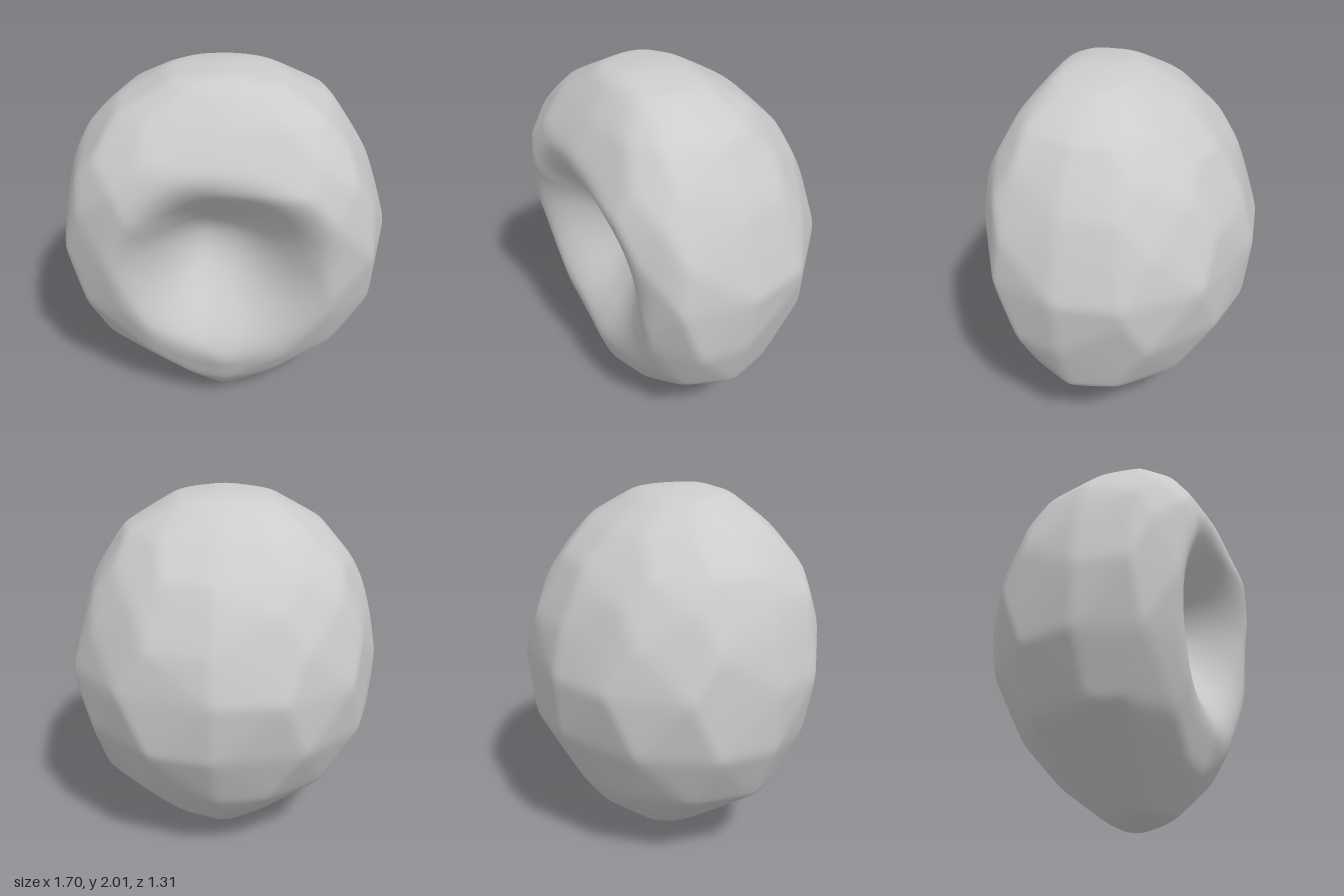
import * as THREE from 'three';
import { mergeVertices } from 'three/addons/utils/BufferGeometryUtils.js';
import { ConvexGeometry } from 'three/addons/geometries/ConvexGeometry.js';

// Horizontal sections: y, reach to -x, +x, front z (before hollowing), back z
const ROWS = [
  [0, 0.02, 0.06, 0.16, 0.06], [0.05, 0.16, 0.15, 0.32, -0.04], [0.26, 0.43, 0.48, 0.5, -0.31],
  [0.45, 0.69, 0.7, 0.57, -0.46], [0.77, 0.83, 0.81, 0.62, -0.61], [1.1, 0.855, 0.85, 0.665, -0.645],
  [1.35, 0.81, 0.78, 0.695, -0.585], [1.52, 0.76, 0.72, 0.69, -0.51], [1.66, 0.69, 0.64, 0.635, -0.43],
  [1.82, 0.54, 0.53, 0.54, -0.27], [1.97, 0.28, 0.27, 0.41, -0.03], [2, 0.08, 0.08, 0.34, 0.1],
];
const MID_Z = 0.15;
const CENTRE = new THREE.Vector3(0, 1.05, 0.12);
const SHARPNESS = 200;

// Corners of the facets, relative to the centre: twelve per section, staggered
function facetCorners() {
  const points = [];
  ROWS.forEach(([y, left, right, front, back], row) => {
    for (let k = 0; k < 12; k++) {
      const stagger = k % 3 ? (row % 2 ? 5 : -5) : 0;
      const a = THREE.MathUtils.degToRad(k * 30 + stagger);
      const c = Math.cos(a), s = Math.sin(a);
      // the front is boxy and narrows to a keel near the bottom
      const low = THREE.MathUtils.smoothstep(y, 0.25, 1);
      const e = 2 / (s > 0 ? 1.75 + 1.15 * low : 1.8 + 0.2 * low);
      const swell = k % 3 ? 1.015 : 1;
      const x = Math.sign(c) * Math.abs(c) ** e * (c < 0 ? left : right) * swell;
      const z = MID_Z + Math.abs(s) ** e * ((s > 0 ? front : back) - MID_Z) * swell;
      points.push(new THREE.Vector3(x, y, z).sub(CENTRE).multiplyScalar(1.006));
    }
  });
  return points;
}

// One plane per facet of the hull around the corners
function facetPlanes() {
  const pos = new ConvexGeometry(facetCorners()).attributes.position;
  const planes = [];
  for (let i = 0; i < pos.count; i += 3) {
    const [a, b, c] = [0, 1, 2].map(k => new THREE.Vector3().fromBufferAttribute(pos, i + k));
    const normal = b.clone().sub(a).cross(c.clone().sub(a)).normalize();
    const d = normal.dot(a);
    if (d > 0.01 && !planes.some(p => p.normal.dot(normal) > 0.999)) planes.push({ normal, d });
  }
  return planes;
}

export function createModel() {
  const planes = facetPlanes();
  let geo = new THREE.IcosahedronGeometry(1, 34);
  geo.deleteAttribute('normal');
  geo.deleteAttribute('uv');
  geo = mergeVertices(geo, 1e-4);
  const pos = geo.attributes.position;
  const v = new THREE.Vector3();

  for (let i = 0; i < pos.count; i++) {
    // Faceted body with softly rounded edges
    v.fromBufferAttribute(pos, i).normalize();
    const steep = planes.map(p => p.normal.dot(v) / p.d);
    const max = Math.max(...steep);
    const sum = steep.reduce((t, q) => t + Math.max(0, q / max) ** SHARPNESS, 0);
    v.multiplyScalar(sum ** (-1 / SHARPNESS) / max).add(CENTRE);

    // Hollow in the front: deepest left of centre, steep roof, longer sloping floor
    if (v.z > MID_Z) {
      const dx = (v.x + 0.05) / (v.x < -0.05 ? 0.56 : 0.68);
      const dy = (v.y - 1.1) / (v.y > 1.1 ? 0.58 : 0.7);
      const d = Math.min(1, Math.hypot(dx, dy));
      v.z -= 0.39 * (1 - d * d) ** 2.4;
    }
    pos.setXYZ(i, v.x, v.y, v.z);
  }
  geo.computeVertexNormals();

  const body = new THREE.Mesh(geo, new THREE.MeshStandardMaterial({ color: 0xcccccc }));
  body.name = 'hollowedStone';
  const group = new THREE.Group();
  group.name = 'stone';
  group.add(body);
  return group;
}
